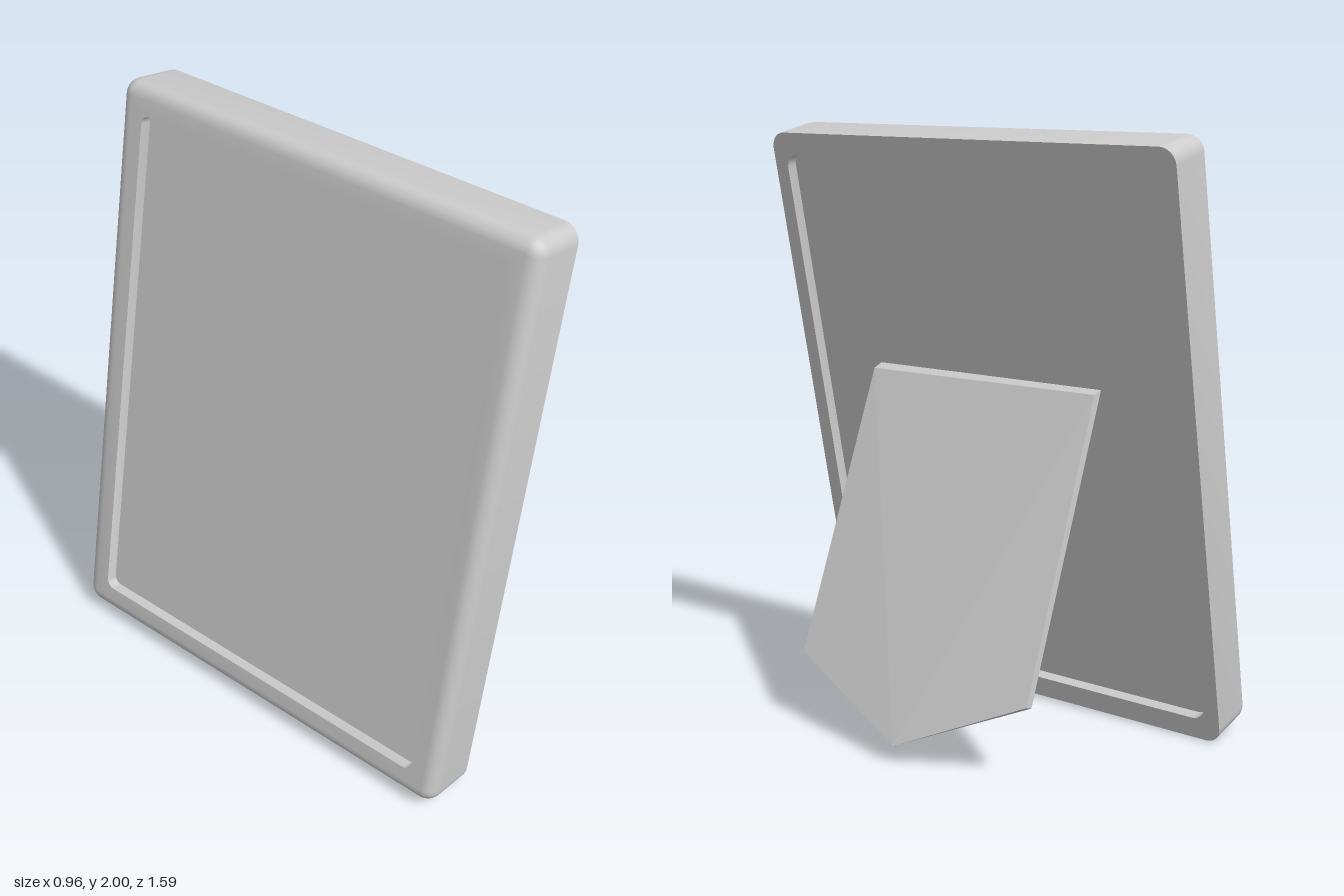
import * as THREE from 'three';
import { toCreasedNormals } from 'three/addons/utils/BufferGeometryUtils.js';
import { ConvexGeometry } from 'three/addons/geometries/ConvexGeometry.js';

const HALF_W = 0.795, HALF_H = 1.005, DEPTH = 0.2; // outer size of the frame
const CORNER = 0.055, EDGE = 0.05;                 // corner and front edge radii
const LEAN = 0.2;                                  // backward tilt in radians
const STEPS = 6;

// Rounded rectangle, counter-clockwise, at depth z
function roundedLoop(hw, hh, r, z) {
  const points = [];
  [[1, 1], [-1, 1], [-1, -1], [1, -1]].forEach(([sx, sy], corner) => {
    for (let i = 0; i <= STEPS; i++) {
      const a = (corner + i / STEPS) * Math.PI / 2;
      points.push([sx * (hw - r) + r * Math.cos(a), HALF_H + sy * (hh - r) + r * Math.sin(a), z]);
    }
  });
  return points;
}

// Skin a sequence of loops; the first and last loops shrink to a point
function loft(loops) {
  const pos = [], n = loops[0].length;
  for (let i = 0; i < loops.length - 1; i++) {
    for (let j = 0; j < n; j++) {
      const k = (j + 1) % n;
      const a = loops[i][j], b = loops[i][k], c = loops[i + 1][k], d = loops[i + 1][j];
      if (i > 0) pos.push(...a, ...b, ...c);
      if (i < loops.length - 2) pos.push(...a, ...c, ...d);
      else if (i === 0) pos.push(...a, ...c, ...d);
    }
  }
  // first band: triangles from the centre outwards
  const geometry = new THREE.BufferGeometry();
  geometry.setAttribute('position', new THREE.Float32BufferAttribute(pos, 3));
  return toCreasedNormals(geometry, 0.6);
}

export function createModel() {
  const model = new THREE.Group();
  model.name = 'pictureFrame';
  const material = new THREE.MeshStandardMaterial({ color: 0xcccccc });

  // Frame: back panel, back rim, outer wall, rounded front edge, front panel
  const loops = [
    roundedLoop(0, 0, 0, 0.04),
    roundedLoop(0.742, 0.93, 0.05, 0.04),
    roundedLoop(0.742, 0.93, 0.05, 0),
    roundedLoop(HALF_W, HALF_H, CORNER, 0),
  ];
  for (let i = 0; i <= 6; i++) {
    const a = i / 6 * Math.PI / 2;
    const inset = EDGE * (1 - Math.cos(a));
    loops.push(roundedLoop(HALF_W - inset, HALF_H - inset, CORNER - inset,
      DEPTH - EDGE + EDGE * Math.sin(a)));
  }
  loops.push(
    roundedLoop(0.695, 0.905, 0.03, DEPTH),
    roundedLoop(0.695, 0.905, 0.03, DEPTH - 0.04),
    roundedLoop(0, 0, 0, DEPTH - 0.04),
  );
  const frame = new THREE.Mesh(loft(loops), material);
  frame.name = 'frame';
  frame.rotation.set(0, -Math.PI / 2, -LEAN, 'ZYX');
  frame.position.set(-0.29, 0, 0);
  model.add(frame);

  // Stand: a thin, slightly skewed plate with a pointed foot
  const outerFace = [
    [-0.055, 1.16, 0.485], [-0.052, 1.175, -0.43], [0.362, 0.26, -0.467],
    [0.48, 0.06, -0.025], [0.372, 0.245, 0.455],
  ];
  const innerFace = [
    [-0.095, 1.175, 0.485], [-0.092, 1.185, -0.43], [0.336, 0.25, -0.467],
    [0.445, 0.062, -0.025], [0.342, 0.237, 0.455],
  ];
  const corners = [...outerFace, ...innerFace].map((p) => new THREE.Vector3(...p));
  const stand = new THREE.Mesh(new ConvexGeometry(corners), material);
  stand.name = 'stand';
  model.add(stand);

  return model;
}
